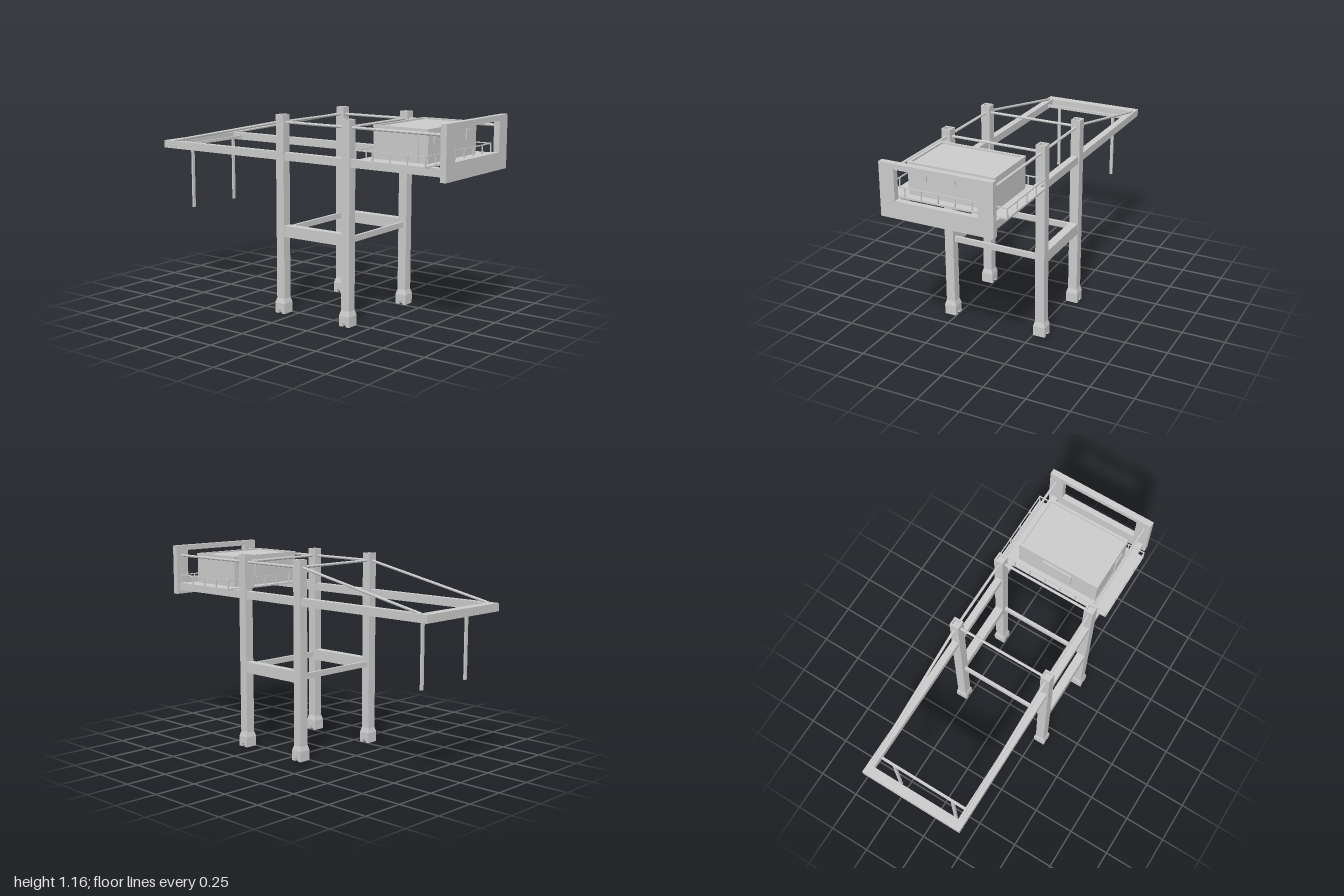
import * as THREE from 'three';

const grey = new THREE.MeshStandardMaterial({ color: 0xcccccc, flatShading: true });

export function createModel() {
  const model = new THREE.Group();

  const add = (name, geometry, parent = model) => {
    const mesh = new THREE.Mesh(geometry, grey);
    mesh.name = name;
    parent.add(mesh);
    return mesh;
  };

  // Box given by its extents along each axis
  const box = (name, x0, x1, y0, y1, z0, z1, parent) => {
    const g = new THREE.BoxGeometry(x1 - x0, y1 - y0, z1 - z0);
    g.translate((x0 + x1) / 2, (y0 + y1) / 2, (z0 + z1) / 2);
    return add(name, g, parent);
  };

  // Round bar between two points
  const rod = (name, a, b, radius, parent) => {
    const p = new THREE.Vector3(...a), q = new THREE.Vector3(...b);
    const mesh = add(name, new THREE.CylinderGeometry(radius, radius, p.distanceTo(q), 8), parent);
    mesh.position.copy(p).lerp(q, 0.5);
    mesh.quaternion.setFromUnitVectors(new THREE.Vector3(0, 1, 0), q.sub(p).normalize());
    return mesh;
  };

  // Rectangular ring in the XY plane, extruded along +z
  const ring = (w, h, iw, ih, depth, holeY = 0) => {
    const rect = (Type, rw, rh, cy) => {
      const s = new Type();
      s.moveTo(-rw / 2, cy - rh / 2).lineTo(rw / 2, cy - rh / 2);
      s.lineTo(rw / 2, cy + rh / 2).lineTo(-rw / 2, cy + rh / 2).closePath();
      return s;
    };
    const shape = rect(THREE.Shape, w, h, 0);
    shape.holes.push(rect(THREE.Path, iw, ih, holeY));
    return new THREE.ExtrudeGeometry(shape, { depth, bevelEnabled: false });
  };

  const legX = [-0.083, 0.371], sideZ = 0.287;

  // Foot: notched block below, tapered collar above
  const footShape = new THREE.Shape();
  footShape.moveTo(-0.034, 0).lineTo(-0.011, 0).lineTo(-0.011, 0.01);
  footShape.absarc(0, 0.01, 0.011, Math.PI, 0, true);
  footShape.lineTo(0.011, 0).lineTo(0.034, 0).lineTo(0.034, 0.06).lineTo(-0.034, 0.06).closePath();
  const footBlock = new THREE.ExtrudeGeometry(footShape, { depth: 0.072, bevelEnabled: false, curveSegments: 6 });
  footBlock.translate(0, 0, -0.036);
  const collar = new THREE.CylinderGeometry(0.055 / Math.SQRT2, 0.072 / Math.SQRT2, 0.03, 4);
  collar.rotateY(Math.PI / 4).scale(0.96, 1, 1).translate(0, 0.075, 0);

  // Legs with hollow tops
  for (const x of legX) for (const s of [1, -1]) {
    const leg = new THREE.Group();
    leg.name = 'leg';
    leg.position.set(x, 0, s * sideZ);
    model.add(leg);
    add('footBlock', footBlock, leg);
    add('footCollar', collar, leg);
    box('legColumn', -0.027, 0.027, 0.08, 1.13, -0.0275, 0.0275, leg);
    const rim = ring(0.054, 0.055, 0.034, 0.035, 0.02);
    rim.rotateX(-Math.PI / 2).translate(0, 1.128, 0);
    add('legTopRim', rim, leg);
  }

  // Cross members joining the two sides
  for (const x of legX) {
    box('portalBeam', x - 0.009, x + 0.009, 0.467, 0.5, -0.262, 0.262);
    rod('upperTie', [x, 1.104, -0.262], [x, 1.104, 0.262], 0.008);
  }

  // Girders, side beams, stays and hangers on both sides
  for (const s of [1, -1]) {
    const z = s * sideZ;
    box('girder', -1, 0.967, 0.89, 0.935, z - 0.02, z + 0.02);
    box('sideBeam', legX[0], legX[1], 0.452, 0.517, z - 0.025, z + 0.025);
    rod('boomStay', [-0.95, 0.932, z], [legX[0], 1.108, z], 0.008);
    rod('backStay', [legX[0], 1.104, z], [0.967, 1.104, z], 0.008);
    const hz = s * 0.186;
    box('hangingPost', -0.883, -0.871, 0.515, 0.915, hz - 0.009, hz + 0.009);
  }
  box('boomEndBeam', -1, -0.945, 0.89, 0.935, -0.307, 0.307);
  box('hangerCrossbar', -0.884, -0.87, 0.902, 0.918, -0.28, 0.28);

  // Rear frame with its wide opening
  const frame = ring(0.65, 0.299, 0.476, 0.171, 0.035, 0.033);
  frame.rotateY(Math.PI / 2).translate(0.965, 1.0155, 0);
  add('rearFrame', frame);

  // Platform and railing
  const px0 = 0.457, px1 = 0.895, pz = 0.349, railY = 0.993;
  box('platform', px0, px1, 0.932, 0.942, -pz, pz);
  const railing = new THREE.Group();
  railing.name = 'railing';
  model.add(railing);
  const r = 0.003, rx0 = px0 + r, rx1 = px1 - r, rz = pz - r;
  const railPost = (x, z) => box('railPost', x - r, x + r, 0.94, railY, z - r, z + r, railing);
  for (const s of [1, -1]) {
    box('sideRail', px0, px1, railY - r, railY + r, s * rz - r, s * rz + r, railing);
    for (let i = 0; i <= 4; i++) railPost(rx0 + (rx1 - rx0) * i / 4, s * rz);
  }
  for (const x of [rx0, rx1]) {
    box('endRail', x - r, x + r, railY - r, railY + r, -rz, rz, railing);
    for (let i = 1; i < 7; i++) railPost(x, -rz + 2 * rz * i / 7);
  }

  // Machinery house with a recessed roof, windows and door
  const house = new THREE.Group();
  house.name = 'machineryHouse';
  model.add(house);
  box('houseBody', 0.508, 0.848, 0.94, 1.114, -0.254, 0.25, house);
  const roofRim = ring(0.344, 0.51, 0.312, 0.476, 0.012);
  roofRim.rotateX(-Math.PI / 2).translate(0.678, 1.111, -0.002);
  add('roofRim', roofRim, house);
  for (const z of [-0.168, 0, 0.168]) {
    box('rearWindow', 0.84, 0.855, 1.035, 1.09, z - 0.03, z + 0.03, house);
  }
  box('forwardWindow', 0.498, 0.515, 1.0, 1.09, -0.095, 0.09, house);
  box('door', 0.716, 0.79, 0.942, 1.065, 0.24, 0.257, house);

  return model;
}
